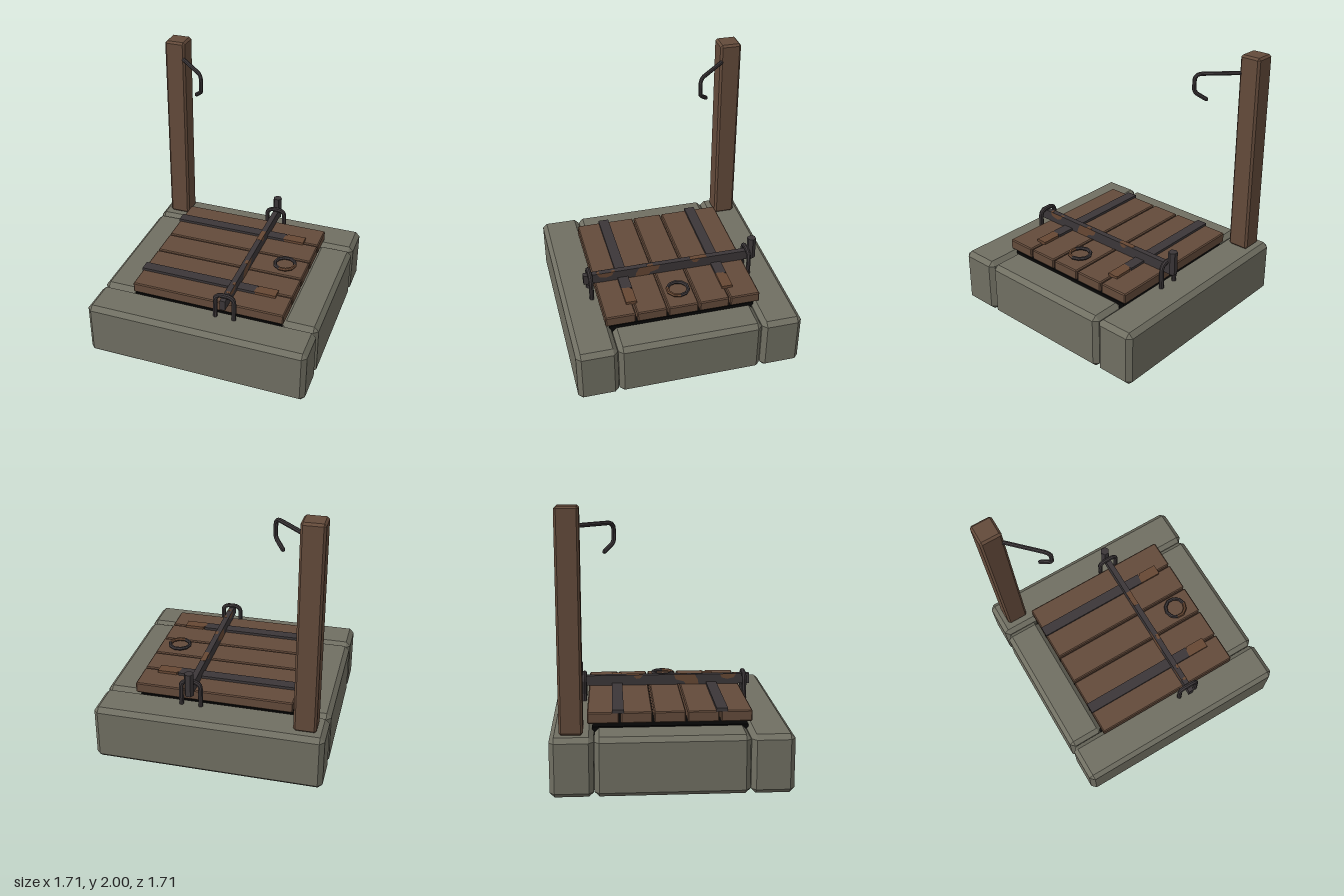
import * as THREE from 'three';
import { ConvexGeometry } from 'three/addons/geometries/ConvexGeometry.js';

function paint(name, color, flat = true) {
  const m = new THREE.MeshStandardMaterial({ color, flatShading: flat });
  m.name = name;
  return m;
}

// Box with every edge cut at 45 degrees, given by its min and max corners
function chamferBox(min, max, c) {
  const half = min.map((v, i) => (max[i] - v) / 2);
  const pts = [];
  for (const sx of [-1, 1]) for (const sy of [-1, 1]) for (const sz of [-1, 1]) {
    for (let axis = 0; axis < 3; axis++) {
      const p = [sx, sy, sz].map((s, i) => s * (half[i] - (i === axis ? 0 : c)) + (min[i] + max[i]) / 2);
      pts.push(new THREE.Vector3(...p));
    }
  }
  return new ConvexGeometry(pts);
}

function plainBox(min, max) {
  const g = new THREE.BoxGeometry(max[0] - min[0], max[1] - min[1], max[2] - min[2]);
  return g.translate((min[0] + max[0]) / 2, (min[1] + max[1]) / 2, (min[2] + max[2]) / 2);
}

// Bent round rod through a few points
function rod(points, radius) {
  const curve = new THREE.CatmullRomCurve3(points.map(p => new THREE.Vector3(...p)), false, 'catmullrom', 0.15);
  return new THREE.TubeGeometry(curve, 40, radius, 8);
}

export function createModel() {
  const root = new THREE.Group();
  root.name = 'lockedHatch';
  const stone = paint('stone', 0x706f62);
  const wood = paint('wood', 0x634a3a);
  const iron = paint('iron', 0x3b3638);
  const rust = paint('rust', 0x664733);
  rust.side = THREE.DoubleSide;
  const dark = paint('darkness', 0x050505);

  const add = (name, geometry, material, parent = root) => {
    const mesh = new THREE.Mesh(geometry, material);
    mesh.name = name;
    parent.add(mesh);
    return mesh;
  };

  // Stone curb: two long blocks and two short ones between them
  add('frontCurb', chamferBox([-0.855, 0, 0.548], [0.855, 0.43, 0.855], 0.034), stone);
  add('backCurb', chamferBox([-0.855, 0, -0.855], [0.855, 0.43, -0.548], 0.034), stone);
  add('leftCurb', chamferBox([0.575, 0, -0.544], [0.855, 0.43, 0.544], 0.034), stone);
  add('rightCurb', chamferBox([-0.855, 0, -0.544], [-0.575, 0.43, 0.544], 0.034), stone);

  // Dark shaft under the lid
  add('shaft', plainBox([-0.58, 0.004, -0.56], [0.58, 0.428, 0.56]), dark);

  // Lid planks
  const lid = new THREE.Group();
  lid.name = 'lid';
  root.add(lid);
  for (let i = 0; i < 5; i++) {
    const z = -0.482 + i * 0.2395;
    add('plank', chamferBox([-0.585, 0.45, z - 0.114], [0.607, 0.532, z + 0.114], 0.008), wood, lid);
  }

  // Iron straps with rusted ends
  for (const z of [-0.375, 0.37]) {
    add('strap', plainBox([-0.587, 0.525, z - 0.041], [0.33, 0.552, z + 0.041]), iron, lid);
    const end = new THREE.Shape([
      new THREE.Vector2(0.32, -0.041), new THREE.Vector2(0.49, -0.041),
      new THREE.Vector2(0.49, 0.041), new THREE.Vector2(0.345, 0.041), new THREE.Vector2(0.325, 0.015)
    ]);
    const g = new THREE.ExtrudeGeometry(end, { depth: 0.027, bevelEnabled: false });
    g.rotateX(-Math.PI / 2).translate(0, 0.5255, z);
    add('rustedStrapEnd', g, rust, lid);
    add('strapTip', plainBox([0.43, 0.525, z - 0.0412], [0.4905, 0.551, z + 0.0412]), rust, lid);
  }

  // Pull ring lying on the lid, partly rusted
  const ring = new THREE.Group();
  ring.name = 'pullRing';
  ring.position.set(0.44, 0.562, 0);
  root.add(ring);
  const arcs = [[0, 1.4, iron, 7], [1.4 * Math.PI, 0.6, rust, 3]];
  for (const [start, span, material, segments] of arcs) {
    const g = new THREE.TorusGeometry(0.08, 0.014, 6, segments, span * Math.PI);
    g.rotateZ(start).rotateX(-Math.PI / 2);
    add('ringArc', g, material, ring);
  }

  // Locking bar across the lid
  const barX = 0.168;
  add('lockingBar', plainBox([barX - 0.021, 0.535, -0.675], [barX + 0.021, 0.615, 0.675]), iron);

  // Rust patches on both sides and the top of the bar
  const sidePatches = [
    [[0.57, 0.615], [0.55, 0.585], [0.5, 0.573], [0.455, 0.585], [0.44, 0.615]],
    [[0.24, 0.615], [0.265, 0.57], [0.27, 0.536], [0.17, 0.536], [0.15, 0.56], [0.09, 0.575], [0.075, 0.615]],
    [[-0.175, 0.61], [-0.19, 0.59], [-0.22, 0.585], [-0.245, 0.605], [-0.22, 0.614]]
  ];
  for (const side of [-1, 1]) for (const patch of sidePatches) {
    const g = new THREE.ShapeGeometry(new THREE.Shape(patch.map(([z, y]) => new THREE.Vector2(-z, y))));
    g.rotateY(Math.PI / 2).translate(barX + side * 0.0225, 0, 0);
    add('barRust', g, rust);
  }
  for (const [z0, z1, w] of [[-0.3, -0.17, 0.02], [0.13, 0.175, 0.012], [0.43, 0.46, 0.01], [0.55, 0.57, 0.015]]) {
    add('barTopRust', plainBox([barX + 0.021 - 2 * w, 0.614, z0], [barX + 0.021, 0.617, z1]), rust);
  }

  // Staples that hold the bar down
  for (const z of [-0.63, 0.627]) {
    const path = [[-0.073, 0.41], [-0.073, 0.585], [-0.062, 0.612], [-0.035, 0.628],
      [0.035, 0.628], [0.062, 0.612], [0.073, 0.585], [0.073, 0.41]];
    add('staple', rod(path.map(([x, y]) => [barX + x, y, z]), 0.018), iron);
  }

  // Hexagonal pin behind the rear staple
  const pin = new THREE.CylinderGeometry(0.035, 0.035, 0.18, 6);
  pin.rotateY(Math.PI / 6).translate(barX, 0.63, -0.672);
  add('lockingPin', pin, iron);

  // Post in the back corner
  add('post', chamferBox([-0.787, 0.43, -0.787], [-0.62, 2, -0.62], 0.016), wood);

  // Hook reaching diagonally over the lid
  const hookPath = [[-0.66, 1.86], [-0.43, 1.86], [-0.405, 1.852], [-0.391, 1.825],
    [-0.391, 1.735], [-0.405, 1.708], [-0.455, 1.663]];
  add('hook', rod(hookPath.map(([d, y]) => [d, y, d]), 0.016), iron);
  const tip = new THREE.SphereGeometry(0.016, 8, 6);
  tip.translate(-0.455, 1.663, -0.455);
  add('hookTip', tip, iron);

  return root;
}
